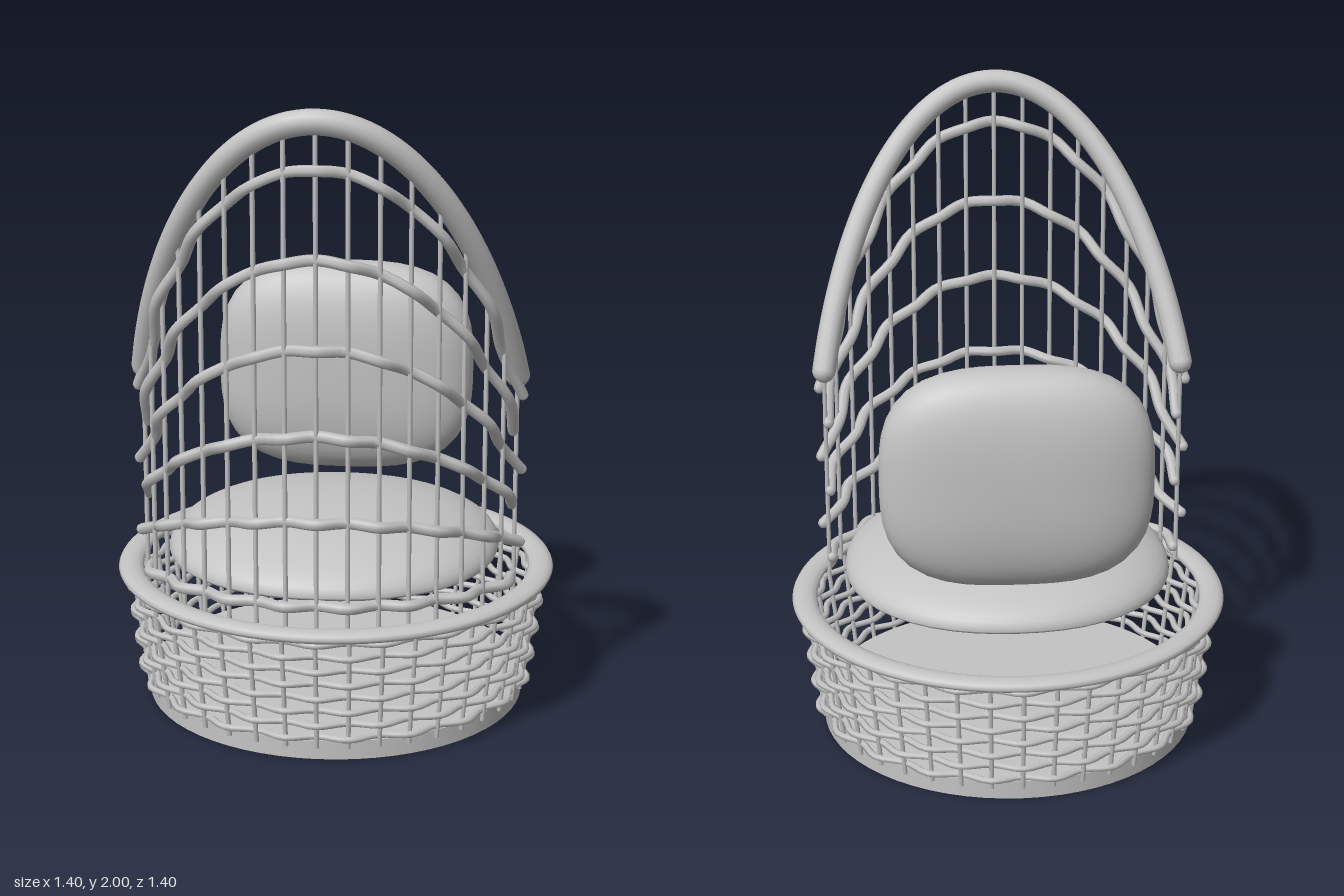
import * as THREE from 'three';

const V = (x, y, z) => new THREE.Vector3(x, y, z);
const wicker = new THREE.MeshStandardMaterial({ color: 0xc4c4c4 });
wicker.name = 'plain grey';

// point on a circle, angle measured from +z towards +x
const polar = (r, a, y) => V(r * Math.sin(a), y, r * Math.cos(a));

function add(parent, name, geometry) {
  const mesh = new THREE.Mesh(geometry, wicker);
  mesh.name = name;
  parent.add(mesh);
  return mesh;
}

function addGroup(parent, name) {
  const group = new THREE.Group();
  group.name = name;
  parent.add(group);
  return group;
}

// round bar between two points
function bar(parent, name, from, to, radius) {
  const dir = to.clone().sub(from);
  const mesh = add(parent, name, new THREE.CylinderGeometry(radius, radius, dir.length(), 6));
  mesh.position.copy(from).addScaledVector(dir, 0.5);
  mesh.quaternion.setFromUnitVectors(V(0, 1, 0), dir.normalize());
  return mesh;
}

// cushion: a sphere swollen into a superellipsoid
// plan = squareness seen face on, side = squareness of its thickness (local y)
function cushionGeometry(a, up, down, c, plan, side) {
  const g = new THREE.SphereGeometry(1, 48, 32);
  const p = g.attributes.position;
  for (let i = 0; i < p.count; i++) {
    const x = p.getX(i), y = p.getY(i), z = p.getZ(i);
    const flat = Math.pow(Math.abs(x) ** plan + Math.abs(z) ** plan, 1 / plan);
    const k = 1 / Math.pow(flat ** side + Math.abs(y) ** side, 1 / side);
    p.setXYZ(i, x * k * a, y * k * (y > 0 ? up : down), z * k * c);
  }
  g.computeVertexNormals();
  return g;
}

export function createModel() {
  const model = new THREE.Group();
  model.name = 'wickerChair';

  // solid foot disc
  add(model, 'baseDisc', new THREE.CylinderGeometry(0.605, 0.605, 0.06, 64)).position.y = 0.03;

  // basket: upright stakes with wavy rings woven around them
  const basket = addGroup(model, 'basket');
  const stakes = 40;
  const basketR = y => 0.612 + 0.045 * (y - 0.06) / 0.36;
  for (let i = 0; i < stakes; i++) {
    const a = i / stakes * Math.PI * 2;
    bar(basket, 'basketStake', polar(basketR(0.04), a, 0.04), polar(basketR(0.42), a, 0.42), 0.008);
  }
  for (let k = 0; k < 8; k++) {
    const y = 0.076 + 0.046 * k;
    const points = [];
    for (let i = 0; i < stakes; i++) {
      const wave = (i + k) % 2 ? 0.014 : -0.014;
      points.push(polar(basketR(y) + 0.005 + wave, i / stakes * Math.PI * 2, y));
    }
    const curve = new THREE.CatmullRomCurve3(points, true);
    add(basket, 'basketRing', new THREE.TubeGeometry(curve, 160, 0.011, 6, true));
  }

  // flattened rim
  const rim = add(model, 'basketRim', new THREE.TorusGeometry(0.66, 0.04, 12, 80));
  rim.rotation.x = Math.PI / 2;
  rim.scale.z = 0.5;
  rim.position.y = 0.425;

  // tall hood: arch height rises evenly with z
  const hood = addGroup(model, 'hood');
  const half = 1.22, hoodR = 0.615, steps = 16;
  const archY = a => 1.12 + (hoodR * Math.cos(a) - 0.21) / 0.405 * 0.845;
  const archPoints = [];
  for (let i = 0; i <= 32; i++) {
    const a = -half + 2 * half * i / 32;
    archPoints.push(polar(hoodR, a, archY(a)));
  }
  const arch = new THREE.CatmullRomCurve3(archPoints);
  add(hood, 'hoodArch', new THREE.TubeGeometry(arch, 96, 0.038, 12));
  for (const end of [archPoints[0], archPoints[32]]) {
    add(hood, 'archEnd', new THREE.SphereGeometry(0.038, 12, 8)).position.copy(end);
  }

  // hood stakes
  for (let i = 0; i <= steps; i++) {
    const a = -half + 2 * half * i / steps;
    bar(hood, 'hoodStake', polar(hoodR, a, 0.42), polar(hoodR, a, archY(a)), 0.008);
  }

  // wavy bands at even fractions of the hood height
  for (let k = 0; k < 6; k++) {
    const t = 0.04 + 0.174 * k;
    const points = [];
    for (let i = 0; i <= steps; i++) {
      const a = -half + 2 * half * i / steps;
      const wave = (i + k) % 2 ? 0.014 : -0.014;
      points.push(polar(hoodR + 0.004 + wave, a, 0.44 + t * (archY(a) - 0.44)));
    }
    const curve = new THREE.CatmullRomCurve3(points);
    add(hood, 'hoodBand', new THREE.TubeGeometry(curve, 80, 0.018, 6));
    for (const end of [points[0], points[steps]]) {
      add(hood, 'bandEnd', new THREE.SphereGeometry(0.018, 6, 4)).position.copy(end);
    }
  }

  // seat cushion, domed above and shallow below
  const seat = add(model, 'seatCushion', cushionGeometry(0.525, 0.145, 0.055, 0.525, 2.2, 2));
  seat.position.set(0, 0.51, 0.045);

  // upright pillow
  const pillow = add(model, 'pillow', cushionGeometry(0.42, 0.14, 0.14, 0.35, 3, 2.6));
  pillow.rotation.x = Math.PI / 2;
  pillow.position.set(0, 0.98, -0.365);

  return model;
}
